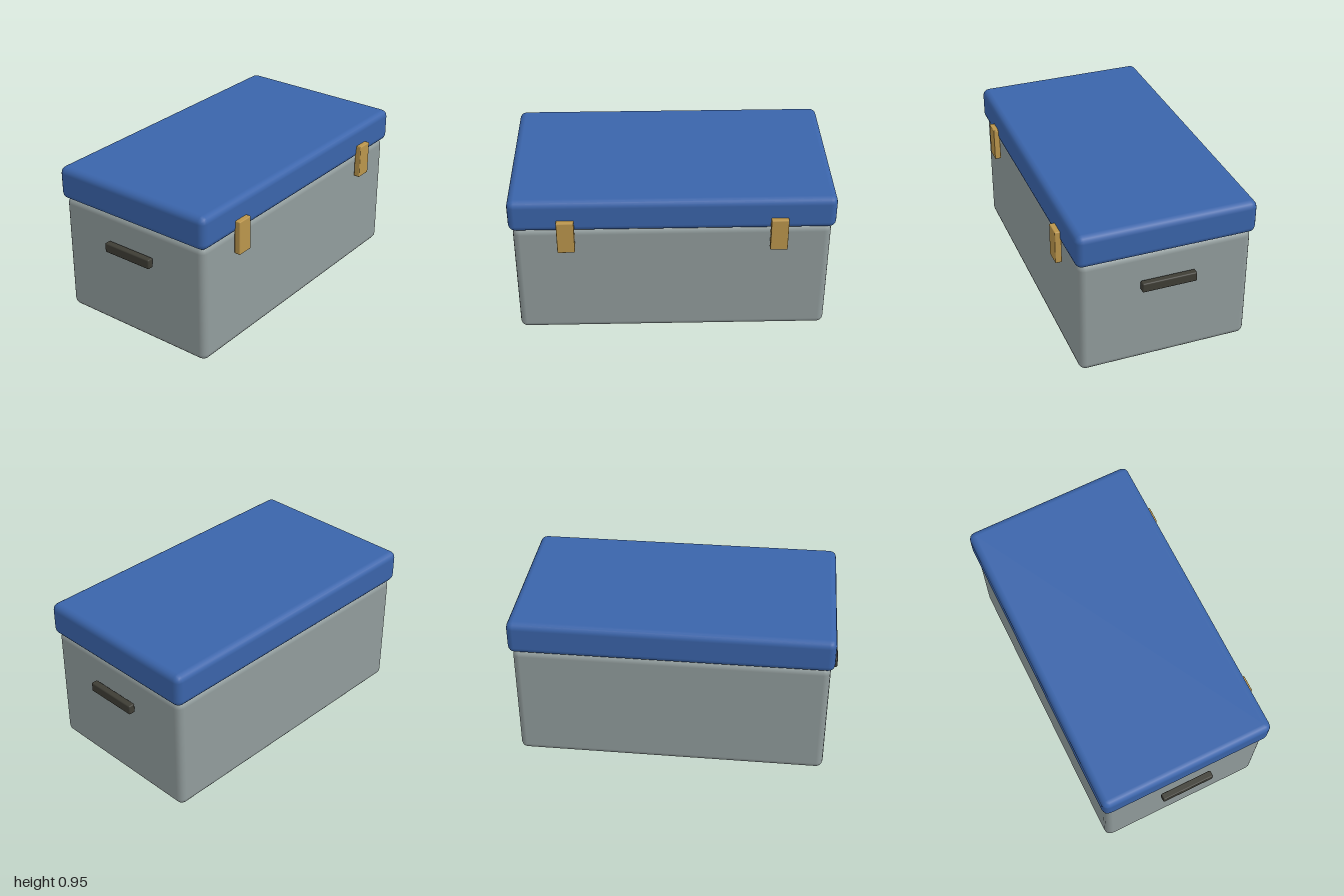
import * as THREE from 'three';
import { RoundedBoxGeometry } from 'three/addons/geometries/RoundedBoxGeometry.js';

function material(name, color) {
  const m = new THREE.MeshStandardMaterial({ color });
  m.name = name;
  return m;
}

export function createModel() {
  const group = new THREE.Group();
  group.name = 'storageChest';

  const grey = material('grey body', 0x919c9c);
  const blue = material('blue lid', 0x3a64aa);
  const brass = material('brass latch', 0xba954c);
  const dark = material('dark handle', 0x3e3d35);

  // Rounded box given by its centre and full size
  const addBox = (name, mat, [x, y, z], [w, h, d], radius, segments = 2) => {
    const mesh = new THREE.Mesh(new RoundedBoxGeometry(w, h, d, segments, radius), mat);
    mesh.name = name;
    mesh.position.set(x, y, z);
    group.add(mesh);
  };

  // Box and overhanging lid
  addBox('body', grey, [0, 0.375, -0.014], [1.89, 0.75, 1.055], 0.042);
  addBox('lid', blue, [0, 0.846, -0.014], [1.934, 0.208, 1.095], 0.042);

  // Front latches and end handles, mirrored
  for (const [side, s] of [['left', 1], ['right', -1]]) {
    addBox(side + 'Latch', brass, [0.63 * s, 0.72, 0.545], [0.104, 0.21, 0.04], 0.006);
    addBox(side + 'Handle', dark, [0.979 * s, 0.55, -0.014], [0.042, 0.06, 0.336], 0.008);
  }

  return group;
}
